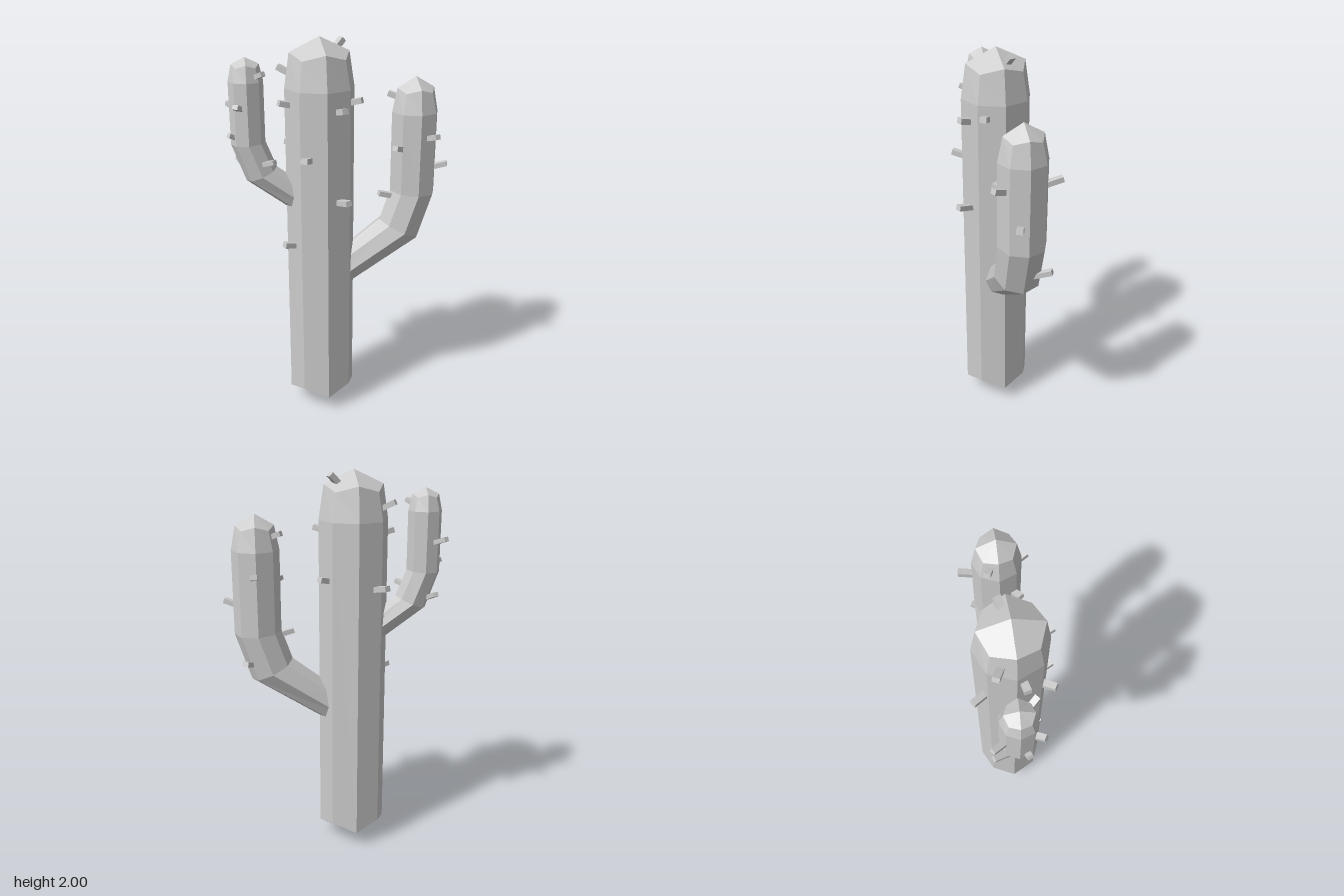
import * as THREE from 'three';

const SIDES = 8;
const AXIS = [-0.04, 0.068]; // x, z of the trunk

// Eight-sided stem from rings [offset, y, radius, tilt, lift of every second corner],
// closed at both ends by four quads that meet in a point.
function stemGeometry(rings, bottom, top) {
  const loops = rings.map(([d, y, r, tilt = 0, lift = 0]) => {
    const loop = [];
    for (let k = 0; k < SIDES; k++) {
      const a = (k / SIDES) * Math.PI * 2;
      const c = Math.cos(a) * r;
      const up = k % 2 === 0 ? lift : 0;
      loop.push([d + c * Math.cos(tilt), y - c * Math.sin(tilt) + up, Math.sin(a) * r]);
    }
    return loop;
  });
  const pos = [];
  const tri = (a, b, c) => pos.push(...a, ...b, ...c);
  const first = loops[0];
  const last = loops[loops.length - 1];
  for (let k = 0; k < SIDES; k++) {
    const n = (k + 1) % SIDES;
    for (let i = 0; i < loops.length - 1; i++) {
      const lo = loops[i];
      const hi = loops[i + 1];
      tri(lo[k], hi[k], hi[n]);
      tri(lo[k], hi[n], lo[n]);
    }
    tri(bottom, first[k], first[n]);
    tri(top, last[n], last[k]);
  }
  const geo = new THREE.BufferGeometry();
  geo.setAttribute('position', new THREE.Float32BufferAttribute(pos, 3));
  geo.computeVertexNormals();
  return geo;
}

export function createModel() {
  const model = new THREE.Group();
  const material = new THREE.MeshStandardMaterial({ color: 0xcccccc, flatShading: true });

  function addStem(name, degrees, rings, bottom, top) {
    const mesh = new THREE.Mesh(stemGeometry(rings, bottom, top), material);
    mesh.name = name;
    mesh.position.set(AXIS[0], 0, AXIS[1]);
    mesh.rotation.y = THREE.MathUtils.degToRad(degrees);
    model.add(mesh);
  }

  // Trunk with pointed foot and domed top
  addStem('trunk', 60, [
    [0, 0.13, 0.176, 0, -0.045],
    [0, 1.76, 0.174],
    [0, 1.9, 0.148, 0, 0.03],
  ], [0, 0, 0], [0, 2, 0]);

  // Large arm, bending upward behind the trunk
  addStem('largeArm', 58.5, [
    [0.06, 0.75, 0.085, 0.85],
    [0.42, 1.0, 0.118, 0.45],
    [0.487, 1.2, 0.119, 0.06],
    [0.487, 1.62, 0.119],
    [0.487, 1.72, 0.095, 0, 0.02],
  ], [0.05, 0.74, 0], [0.487, 1.795, 0]);

  // Small arm, bending upward in front of the trunk
  addStem('smallArm', -124, [
    [0.07, 1.17, 0.07, 0.8],
    [0.295, 1.34, 0.083, 0.4],
    [0.355, 1.5, 0.084, 0.06],
    [0.355, 1.8, 0.084],
    [0.355, 1.865, 0.066, 0, 0.015],
  ], [0.06, 1.16, 0], [0.355, 1.912, 0]);

  // Spines: tip [x, y, z] and optional rise, pointing away from the stem's axis
  const spines = [
    { name: 'trunkSpine', axis: AXIS, size: 0.034, length: 0.11, tips: [
      [0.175, 1.68, 0.1], [0.15, 1.71, -0.035], [0.2, 1.23, 0.098], [0.07, 1.45, 0.27],
      [-0.075, 0.98, 0.285], [-0.11, 1.7, 0.27], [-0.04, 1.485, -0.145],
      [-0.015, 1.98, -0.06, 0.13], [-0.28, 1.45, 0.088], [-0.215, 1.85, 0.185, 0.1],
    ] },
    { name: 'largeArmSpine', axis: [0.215, -0.35], size: 0.032, length: 0.1, tips: [
      [0.385, 1.52, -0.33], [0.35, 1.355, -0.455], [0.235, 1.46, -0.185], [0.13, 1.2, -0.185],
      [0.1, 1.705, -0.27], [0.065, 1.52, -0.455], [0.14, 1.07, -0.475],
    ] },
    { name: 'smallArmSpine', axis: [-0.24, 0.363], size: 0.028, length: 0.09, tips: [
      [-0.385, 1.675, 0.37], [-0.36, 1.4, 0.34], [-0.255, 1.55, 0.465], [-0.18, 1.7, 0.472],
      [-0.125, 1.845, 0.345], [-0.082, 1.425, 0.325],
    ] },
  ];
  for (const { name, axis, size, length, tips } of spines) {
    const geo = new THREE.BoxGeometry(size, size * 0.8, length);
    geo.translate(0, 0, -length / 2);
    for (const [x, y, z, rise = 0.05] of tips) {
      const spine = new THREE.Mesh(geo, material);
      spine.name = name;
      spine.position.set(x, y, z);
      spine.lookAt(2 * x - axis[0], y + rise, 2 * z - axis[1]);
      model.add(spine);
    }
  }
  return model;
}
